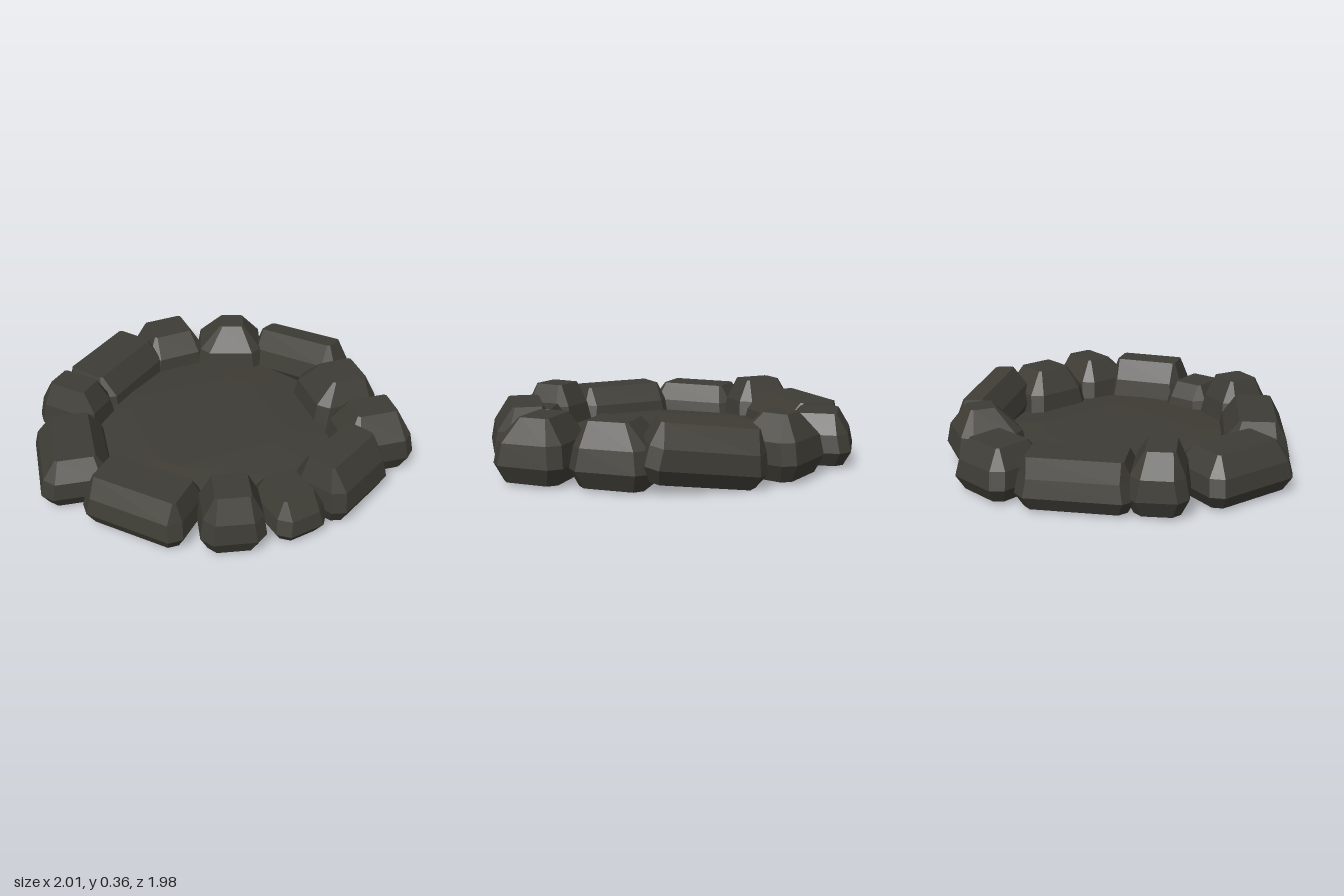
import * as THREE from 'three';

const stoneMaterial = new THREE.MeshStandardMaterial({ color: 0x3e3c35, flatShading: true });
stoneMaterial.name = 'dark stone';

// Rectangle with cut corners, as eight points at height y
function ring(hx, hz, cut, y, dx = 0, dz = 0) {
  const a = hx - cut, b = hz - cut;
  return [[hx, b], [a, hz], [-a, hz], [-hx, b], [-hx, -b], [-a, -hz], [a, -hz], [hx, -b]]
    .map(([x, z]) => new THREE.Vector3(x + dx, y, z + dz));
}

// Skin a stack of rings (bottom to top) and cap both ends
function loft(rings) {
  const pos = [];
  const tri = (...pts) => pts.forEach((p) => pos.push(p.x, p.y, p.z));
  for (let k = 0; k < rings.length - 1; k++) {
    const lo = rings[k], hi = rings[k + 1];
    for (let i = 0; i < 8; i++) {
      const j = (i + 1) % 8;
      tri(lo[i], hi[i], hi[j]);
      tri(lo[i], hi[j], lo[j]);
    }
  }
  const bottom = rings[0], top = rings[rings.length - 1];
  for (let i = 1; i < 7; i++) {
    tri(bottom[0], bottom[i], bottom[i + 1]);
    tri(top[0], top[i + 1], top[i]);
  }
  const geo = new THREE.BufferGeometry();
  geo.setAttribute('position', new THREE.Float32BufferAttribute(pos, 3));
  geo.computeVertexNormals();
  return geo;
}

// Rough hewn block, centred on its own middle height
function stoneGeometry(length, width, height, endInset, sideInset, dx, dz) {
  const hx = length / 2, hz = width / 2, h = height / 2;
  return loft([
    ring(hx - 0.04, hz - 0.04, 0.04, -h),
    ring(hx, hz, 0.055, -h + height * 0.28),
    ring(hx - 0.015, hz - 0.02, 0.055, -h + height * 0.62),
    ring(hx - endInset, hz - sideInset, 0.012, h, dx, dz),
  ]);
}

export function createModel() {
  const model = new THREE.Group();
  model.name = 'stoneRing';

  // x, z, length, width, top height, turn in degrees, end inset, side inset, top shift x, top shift z
  const stones = [
    [0.045, -0.785, 0.39, 0.40, 0.29, -3, 0.075, 0.10, 0.0, -0.02],
    [0.40, -0.64, 0.40, 0.38, 0.34, 20, 0.13, 0.12, 0.01, -0.02],
    [0.75, -0.345, 0.61, 0.29, 0.335, 59, 0.06, 0.085, 0.0, 0.0],
    [0.785, 0.065, 0.41, 0.40, 0.34, 92, 0.10, 0.10, 0.02, -0.02],
    [0.785, 0.47, 0.38, 0.41, 0.34, 95, 0.11, 0.09, -0.02, -0.01],
    [0.485, 0.705, 0.49, 0.34, 0.34, -29, 0.055, 0.09, 0.0, -0.01],
    [0.145, 0.79, 0.30, 0.37, 0.25, -9, 0.06, 0.08, 0.0, 0.0],
    [-0.165, 0.79, 0.33, 0.34, 0.34, 14, 0.075, 0.08, 0.0, 0.0],
    [-0.53, 0.525, 0.58, 0.37, 0.29, 47, 0.055, 0.085, 0.0, 0.01],
    [-0.785, 0.065, 0.56, 0.39, 0.28, 98, 0.085, 0.09, 0.0, 0.0],
    [-0.66, -0.35, 0.38, 0.31, 0.34, 49, 0.08, 0.08, 0.0, 0.01],
    [-0.355, -0.605, 0.60, 0.38, 0.29, -38, 0.055, 0.08, 0.0, -0.03],
  ];
  stones.forEach(([x, z, length, width, top, turn, endInset, sideInset, dx, dz], i) => {
    const base = i === 2 ? 0.045 : 0.02;
    const geometry = stoneGeometry(length, width, top - base, endInset, sideInset, dx, dz);
    const mesh = new THREE.Mesh(geometry, stoneMaterial);
    mesh.name = `rimStone${i + 1}`;
    mesh.position.set(x, (top + base) / 2, z);
    mesh.rotation.order = 'YZX';
    mesh.rotation.y = -THREE.MathUtils.degToRad(turn);
    // one long stone leans up toward the front and rolls outward
    if (i === 2) {
      mesh.rotation.z = 0.13;
      mesh.rotation.x = -0.1;
    }
    model.add(mesh);
  });

  // Thin domed slab inside the ring
  const floor = new THREE.Mesh(loft([
    ring(0.36, 0.33, 0.1, 0.12),
    ring(0.74, 0.72, 0.27, 0.095),
    ring(0.74, 0.72, 0.27, 0.105),
    ring(0.38, 0.34, 0.1, 0.145),
  ]), stoneMaterial);
  floor.name = 'floorSlab';
  model.add(floor);

  return model;
}
